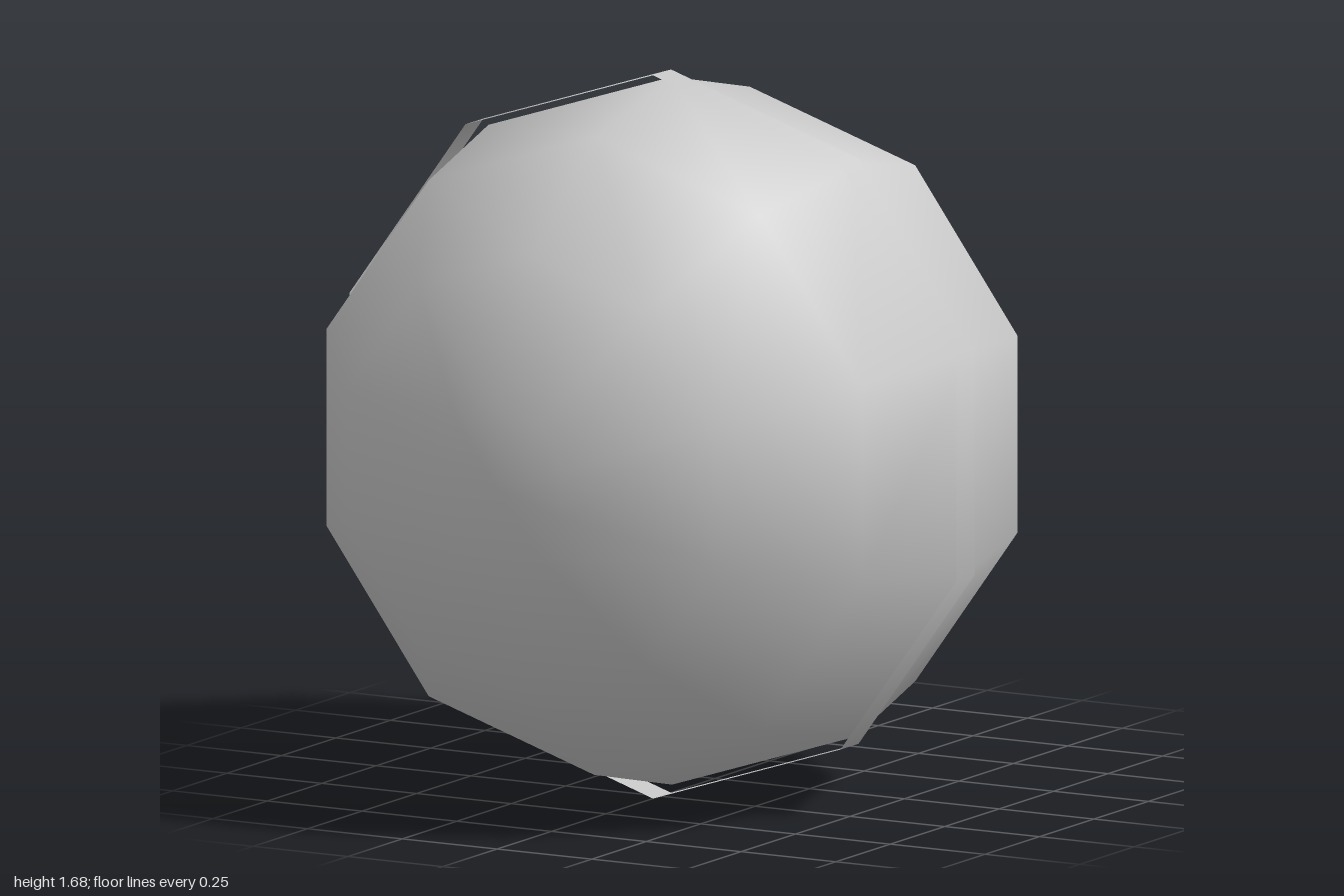
import * as THREE from 'three';

const CY = 0.842; // height of the main axis
const CZ = 0.2;   // middle of the ball

export function createModel() {
  const group = new THREE.Group();
  const grey = new THREE.MeshStandardMaterial({ color: 0xcccccc });
  grey.name = 'grey';
  const greySheet = new THREE.MeshStandardMaterial({ color: 0xcccccc, side: THREE.DoubleSide });
  greySheet.name = 'grey sheet';
  const greyFlat = new THREE.MeshStandardMaterial({ color: 0xcccccc, flatShading: true });
  greyFlat.name = 'grey faceted';

  function add(name, geometry, material, x, y, z) {
    const mesh = new THREE.Mesh(geometry, material);
    mesh.name = name;
    mesh.position.set(x, y, z);
    group.add(mesh);
    return mesh;
  }

  // Ball: ten-sided rings around the z axis, flat at both poles
  const R = 0.824, step = Math.PI / 7;
  const profile = [];
  for (let i = 0; i < 7; i++) {
    const a = (i + 0.5) * step;
    profile.push(new THREE.Vector2(R * Math.sin(a), -R * Math.cos(a)));
  }
  const pole = R * Math.cos(step / 2);
  profile.unshift(new THREE.Vector2(0, -pole));
  profile.push(new THREE.Vector2(0, pole));
  const ball = new THREE.LatheGeometry(profile, 10).rotateX(Math.PI / 2);
  // Round normals for smooth shading
  const p = ball.attributes.position, n = ball.attributes.normal;
  const v = new THREE.Vector3();
  for (let i = 0; i < p.count; i++) {
    v.fromBufferAttribute(p, i).normalize();
    n.setXYZ(i, v.x, v.y, v.z);
  }
  add('ball', ball, grey, 0, CY, CZ - 0.003);

  // Band: thin open ring standing just off the ball
  const band = new THREE.CylinderGeometry(CY, CY, 0.083, 10, 1, true).rotateX(Math.PI / 2);
  add('band', band, greySheet, 0, CY, 0.243);

  // Hexagonal collar at the back
  const collar = new THREE.CylinderGeometry(0.178, 0.178, 0.14, 6)
    .rotateX(Math.PI / 2).rotateZ(Math.PI / 2);
  add('collar', collar, greyFlat, 0, CY, -0.665);

  // Fuse: square rod leaning up and to one side
  const base = new THREE.Vector3(0, CY, -0.72);
  const tip = new THREE.Vector3(0.053, 0.928, -0.986);
  const fuse = add('fuse', new THREE.BoxGeometry(0.063, 0.06, base.distanceTo(tip)),
    greyFlat, 0, 0, 0);
  fuse.position.copy(base).lerp(tip, 0.5);
  fuse.lookAt(tip);

  return group;
}
